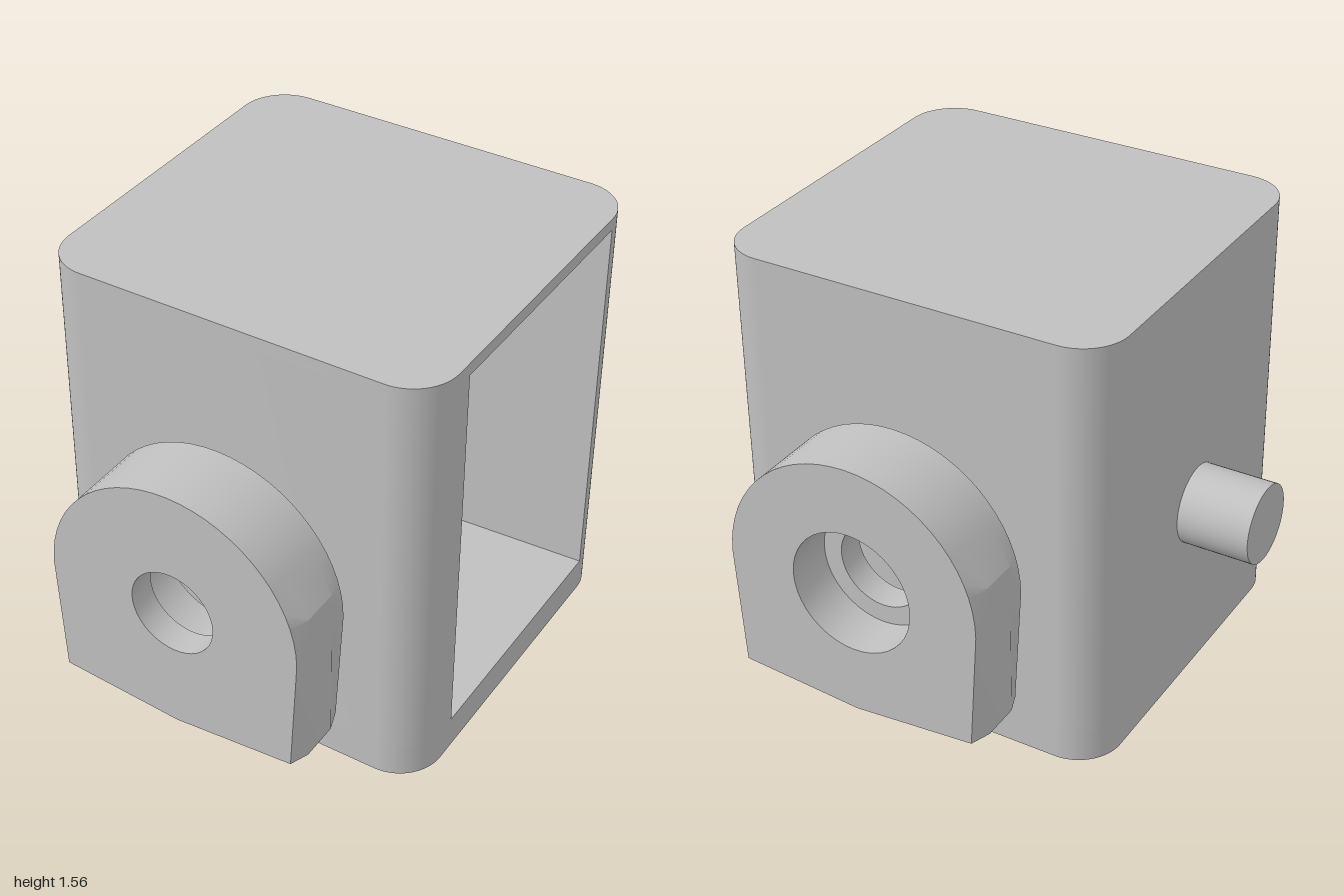
import * as THREE from 'three';
import { mergeGeometries, toCreasedNormals } from 'three/addons/utils/BufferGeometryUtils.js';

const X0 = -0.58, X1 = 0.83, HZ = 0.665, R = 0.16; // housing footprint
const POCKET_Z = 0.44, POCKET_X = -0.46;           // side pocket
const AXIS_X = 0.125, AXIS_Y = 0.675;              // shared axis of the lugs and peg

// Horizontal slab of the housing, with the pocket cut into its +x side if wanted
function slab(y0, y1, pocket) {
  const s = new THREE.Shape();
  s.moveTo(X1, POCKET_Z);
  s.absarc(X1 - R, HZ - R, R, 0, Math.PI / 2);
  s.absarc(X0 + R, HZ - R, R, Math.PI / 2, Math.PI);
  s.absarc(X0 + R, -HZ + R, R, Math.PI, Math.PI * 1.5);
  s.absarc(X1 - R, -HZ + R, R, Math.PI * 1.5, Math.PI * 2);
  s.lineTo(X1, -POCKET_Z);
  if (pocket) {
    s.lineTo(POCKET_X, -POCKET_Z);
    s.lineTo(POCKET_X, POCKET_Z);
  }
  s.closePath();
  const g = new THREE.ExtrudeGeometry(s, { depth: y1 - y0, bevelEnabled: false, curveSegments: 12 });
  g.rotateX(-Math.PI / 2).translate(0, y0, 0);
  return toCreasedNormals(g, 0.5);
}

// Lug outline: rounded top, shallow pointed base; the middle is squared out at the sides
function lugOutline(wide) {
  const r = 0.46, n = 30, pts = [];
  const base = wide ? 0.46 : 0.435;
  pts.push(new THREE.Vector2(0, -r), new THREE.Vector2(base, -0.425));
  for (let i = 0; i <= n; i++) {
    const a = (Math.PI * i) / n, edge = Math.min(i, n - i);
    let x = r * Math.cos(a);
    if (wide && edge <= 3) x = Math.sign(x) * r;
    else if (wide && edge === 4) x = Math.sign(x) * 0.432;
    pts.push(new THREE.Vector2(x, r * Math.sin(a)));
  }
  pts.push(new THREE.Vector2(-base, -0.425));
  return pts;
}

function lugGeometry() {
  const h = 0.135, bore = 0.153, counterbore = 0.22, step = 0.035;
  const face = lugOutline(false), mid = lugOutline(true);
  const layers = [[face, -h], [mid, -0.065], [mid, 0.07], [face, h]];

  // Outer skin lofted through the layers
  const pos = [];
  for (let k = 0; k < layers.length - 1; k++) {
    const [lo, z0] = layers[k], [hi, z1] = layers[k + 1];
    for (let i = 0; i < lo.length; i++) {
      const j = (i + 1) % lo.length;
      const a = [lo[i].x, lo[i].y, z0], b = [lo[j].x, lo[j].y, z0];
      const c = [hi[j].x, hi[j].y, z1], d = [hi[i].x, hi[i].y, z1];
      pos.push(...a, ...b, ...c, ...a, ...c, ...d);
    }
  }
  const skin = new THREE.BufferGeometry();
  skin.setAttribute('position', new THREE.Float32BufferAttribute(pos, 3));

  // End faces with their holes
  const cap = (radius) => {
    const s = new THREE.Shape(face);
    s.holes.push(new THREE.Path().absarc(0, 0, radius, 0, Math.PI * 2, true));
    return new THREE.ShapeGeometry(s, 20);
  };
  const front = cap(bore).translate(0, 0, h);
  const back = cap(counterbore).rotateY(Math.PI).translate(0, 0, -h);

  // Stepped bore
  const profile = [[bore, h], [bore, step], [counterbore, step], [counterbore, -h]];
  const hole = new THREE.LatheGeometry(profile.map(([r, y]) => new THREE.Vector2(r, y)), 40);
  hole.rotateX(Math.PI / 2);

  const parts = [skin, front, back, hole].map((g) => {
    const flat = g.index ? g.toNonIndexed() : g;
    flat.deleteAttribute('uv');
    flat.deleteAttribute('normal');
    return flat;
  });
  return toCreasedNormals(mergeGeometries(parts), 0.4);
}

export function createModel() {
  const model = new THREE.Group();
  model.name = 'pivotHousing';
  const grey = new THREE.MeshStandardMaterial({ color: 0xc0c0c0 });
  grey.name = 'grey';
  const add = (name, geometry, parent = model) => {
    const mesh = new THREE.Mesh(geometry, grey);
    mesh.name = name;
    parent.add(mesh);
    return mesh;
  };

  // Hollow housing
  const housing = new THREE.Group();
  housing.name = 'housing';
  model.add(housing);
  add('floor', slab(0, 0.12, false), housing);
  add('walls', slab(0.12, 1.515, true), housing);
  add('roof', slab(1.515, 1.56, false), housing);

  // Bored lugs in front of and behind the housing
  const lug = lugGeometry();
  add('frontLug', lug).position.set(AXIS_X, AXIS_Y, 0.865);
  add('backLug', lug).position.set(AXIS_X, AXIS_Y, -0.865);

  // Side peg
  const peg = new THREE.CylinderGeometry(0.14, 0.14, 0.275, 40).rotateZ(Math.PI / 2);
  add('peg', peg).position.set(-0.6975, AXIS_Y, 0);

  return model;
}
